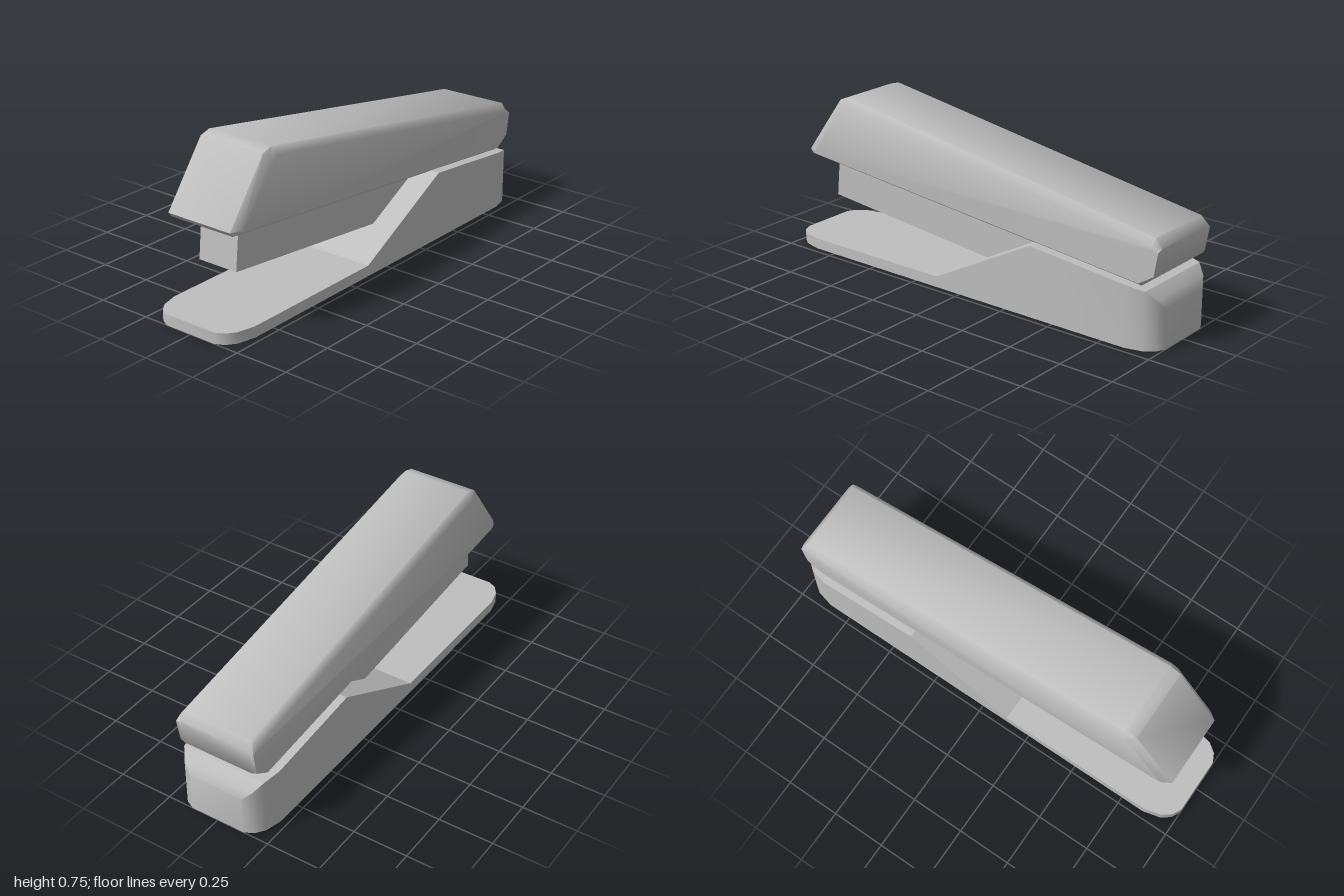
import * as THREE from 'three';
import { toCreasedNormals } from 'three/addons/utils/BufferGeometryUtils.js';

// Joins equal-length convex rings into a closed solid
function loft(rings, crease) {
  const n = rings[0].length, last = (rings.length - 1) * n, index = [];
  for (let i = 0; i < rings.length - 1; i++) {
    for (let j = 0; j < n; j++) {
      const a = i * n + j, b = i * n + (j + 1) % n;
      index.push(a, b, b + n, a, b + n, a + n);
    }
  }
  for (let j = 1; j < n - 1; j++) {
    index.push(0, j + 1, j, last, last + j, last + j + 1);
  }
  const geometry = new THREE.BufferGeometry();
  geometry.setAttribute('position', new THREE.Float32BufferAttribute(rings.flat(2), 3));
  geometry.setIndex(index);
  return toCreasedNormals(geometry, crease);
}

export function createModel() {
  const group = new THREE.Group();
  const grey = new THREE.MeshStandardMaterial({ color: 0xbfbfbf });
  grey.name = 'grey';
  const add = (name, geometry) => {
    const mesh = new THREE.Mesh(geometry, grey);
    mesh.name = name;
    group.add(mesh);
  };

  // Base: stations of x, half width and top height
  const stations = [
    [-1, 0.13, 0.05], [-0.98, 0.17, 0.05], [-0.94, 0.2, 0.05], [-0.86, 0.22, 0.05],
    [-0.13, 0.22, 0.05], [0.38, 0.22, 0.32], [0.86, 0.22, 0.272],
    [0.94, 0.2, 0.258], [0.98, 0.17, 0.22], [1, 0.13, 0.18],
  ];
  add('base', loft(stations.map(([x, w, h]) =>
    [[x, 0, w], [x, 0, -w], [x, h, -w], [x, h, w]]), 0.48));

  // Top arm: full profile in the middle, smaller profile on the side faces
  const middle = [
    [-0.915, 0.44], [0.9, 0.263], [0.975, 0.32], [0.99, 0.44],
    [0.96, 0.48], [-0.68, 0.745], [-0.73, 0.73], [-0.93, 0.46],
  ];
  const side = [
    [-0.88, 0.453], [0.9, 0.28], [0.97, 0.325], [0.988, 0.43],
    [0.96, 0.447], [-0.67, 0.713], [-0.705, 0.7], [-0.89, 0.465],
  ];
  const ring = (profile, z) => profile.map(([x, y]) => [x, y, z]);
  add('topArm', loft([
    ring(side, -0.19), ring(middle, -0.165), ring(middle, 0.165), ring(side, 0.19),
  ], 0.95));

  // Magazine slung under the arm, running back into the base
  const outline = new THREE.Shape([
    [-0.83, 0.24], [0.5, 0.105], [0.52, 0.305], [-0.81, 0.435],
  ].map(([x, y]) => new THREE.Vector2(x, y)));
  const magazine = new THREE.ExtrudeGeometry(outline, { depth: 0.2, bevelEnabled: false });
  magazine.translate(0, 0, -0.1);
  add('magazine', magazine);

  return group;
}
